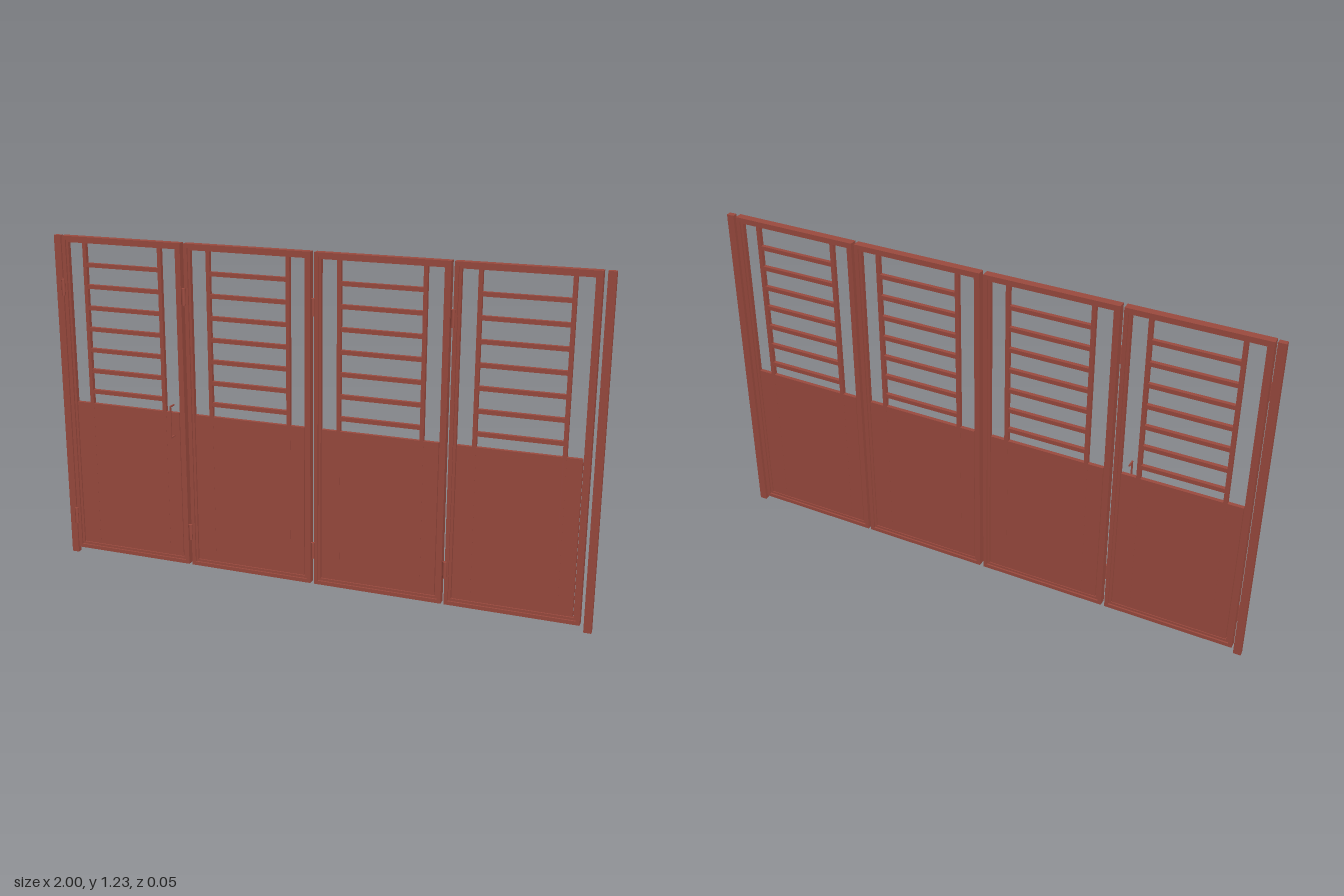
import * as THREE from 'three';

const paint = new THREE.MeshStandardMaterial({ color: 0x9c4b3f });

// Box given by its limits on each axis
function box(name, x0, x1, y0, y1, z0, z1) {
  const mesh = new THREE.Mesh(new THREE.BoxGeometry(x1 - x0, y1 - y0, z1 - z0), paint);
  mesh.position.set((x0 + x1) / 2, (y0 + y1) / 2, (z0 + z1) / 2);
  mesh.name = name;
  return mesh;
}

// Rectangular ring of width w, extruded from z0 to z1
function ring(name, x0, x1, y0, y1, w, z0, z1) {
  const rect = (P, a, b, c, d) => new P([
    new THREE.Vector2(a, c), new THREE.Vector2(b, c),
    new THREE.Vector2(b, d), new THREE.Vector2(a, d),
  ]);
  const shape = rect(THREE.Shape, x0, x1, y0, y1);
  shape.holes.push(rect(THREE.Path, x0 + w, x1 - w, y0 + w, y1 - w));
  const geo = new THREE.ExtrudeGeometry(shape, { depth: z1 - z0, bevelEnabled: false });
  geo.translate(0, 0, z0);
  const mesh = new THREE.Mesh(geo, paint);
  mesh.name = name;
  return mesh;
}

// One gate leaf: stepped frame, lower sheet, two uprights and seven slats
function leaf(x0, x1, barA, barB) {
  const g = new THREE.Group();
  g.name = 'gateLeaf';
  g.add(ring('outerFrame', x0, x1, 0.025, 1.23, 0.014, -0.025, 0.003));
  g.add(ring('innerFrame', x0 + 0.013, x1 - 0.013, 0.038, 1.217, 0.01, -0.019, -0.003));
  g.add(box('lowerSheet', x0 + 0.026, x1 - 0.026, 0.05, 0.61, -0.018, -0.004));
  for (const x of [barA, barB]) {
    g.add(box('upright', x - 0.007, x + 0.007, 0.05, 1.207, -0.0185, -0.0035));
  }
  for (let i = 0; i < 7; i++) {
    const y = 0.656 + i * 0.0787;
    g.add(box('slat', barA + 0.006, barB - 0.006, y - 0.0075, y + 0.0075, -0.018, -0.004));
  }
  return g;
}

export function createModel() {
  const model = new THREE.Group();
  model.name = 'foldingGate';

  // End posts
  for (const s of [-1, 1]) {
    model.add(box('endPost', s < 0 ? -1 : 0.973, s < 0 ? -0.973 : 1, 0, 1.23, -0.021, -0.002));
  }

  // Four leaves: left edge, right edge, upright centres
  model.add(leaf(-0.966, -0.494, -0.879, -0.580));
  model.add(leaf(-0.481, -0.009, -0.392, -0.094));
  model.add(leaf(0.005, 0.477, 0.092, 0.391));
  model.add(leaf(0.488, 0.960, 0.573, 0.875));

  // Barrel hinges
  for (const x of [-0.966, -0.482, 0.003, 0.489]) {
    for (const y of [0.157, 1.043]) {
      const hinge = new THREE.Mesh(new THREE.CylinderGeometry(0.007, 0.007, 0.06, 16), paint);
      hinge.position.set(x, y, 0.008);
      hinge.name = 'hinge';
      model.add(hinge);
    }
  }

  // Pull handle
  const handle = new THREE.Group();
  handle.name = 'handle';
  handle.add(box('grip', -0.5435, -0.5385, 0.52, 0.642, 0.021, 0.026));
  for (const y of [0.52, 0.637]) {
    handle.add(box('handleLeg', -0.5435, -0.5385, y, y + 0.005, -0.004, 0.022));
  }
  model.add(handle);
  return model;
}
